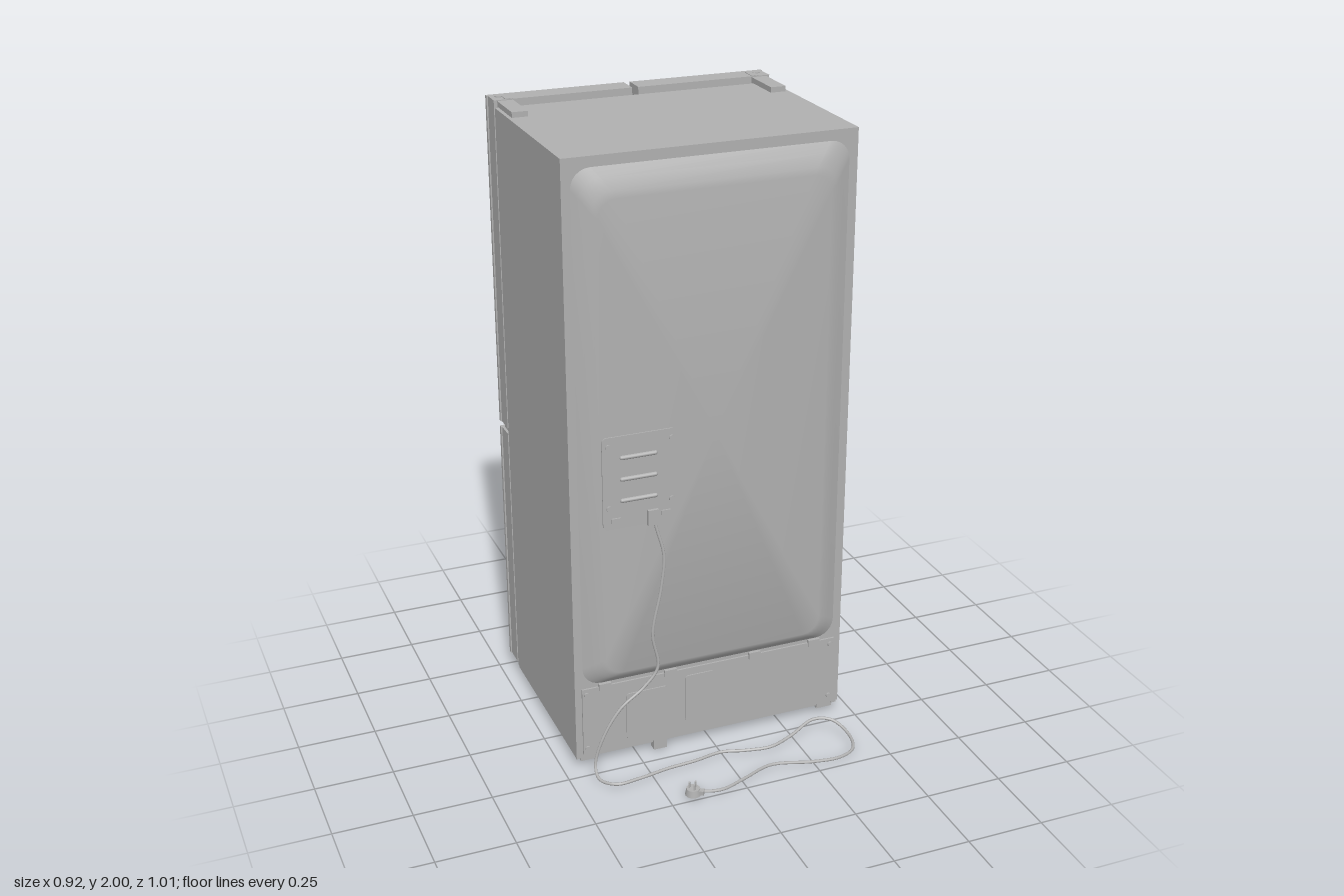
import * as THREE from 'three';
import { toCreasedNormals } from 'three/addons/utils/BufferGeometryUtils.js';

export function createModel() {
  const root = new THREE.Group();
  root.name = 'refrigerator';
  const steel = new THREE.MeshStandardMaterial({ color: 0xb0b0b0 });
  steel.name = 'brushed steel grey';

  const add = (name, geo, x = 0, y = 0, z = 0, parent = root) => {
    const m = new THREE.Mesh(geo, steel);
    m.name = name;
    m.position.set(x, y, z);
    parent.add(m);
    return m;
  };
  // box given by its limits
  const box = (name, x0, x1, y0, y1, z0, z1) =>
    add(name, new THREE.BoxGeometry(Math.abs(x1 - x0), y1 - y0, Math.abs(z1 - z0)),
      (x0 + x1) / 2, (y0 + y1) / 2, (z0 + z1) / 2);
  // rounded rectangle outline centred on x
  const roundRect = (hw, y0, y1, r, n = 6) => {
    const pts = [];
    const corners = [[hw - r, y1 - r], [r - hw, y1 - r], [r - hw, y0 + r], [hw - r, y0 + r]];
    corners.forEach(([cx, cy], q) => {
      for (let i = 0; i <= n; i++) {
        const a = (q + i / n) * Math.PI / 2;
        pts.push(new THREE.Vector2(cx + r * Math.cos(a), cy + r * Math.sin(a)));
      }
    });
    return pts;
  };
  const plate = (name, hw, h, r, depth, x, y, z) =>
    add(name, new THREE.ExtrudeGeometry(new THREE.Shape(roundRect(hw, -h, h, r)),
      { depth, bevelEnabled: false }), x, y, z);

  // cabinet
  box('cabinet', -0.457, 0.457, 0.04, 1.98, -0.415, 0.2);

  // raised back panel, lofted through rounded outlines
  const rings = [
    [0.432, 0.295, 1.95, 0.06, 0.199], [0.405, 0.312, 1.918, 0.06, 0.214],
    [0.378, 0.328, 1.882, 0.06, 0.228], [0.362, 0.338, 1.86, 0.055, 0.232],
  ].map(([hw, y0, y1, r, z]) => roundRect(hw, y0, y1, r).map(p => [p.x, p.y, z]));
  const n = rings[0].length, pos = rings.flat(2), idx = [];
  for (let k = 0; k < rings.length - 1; k++) {
    for (let i = 0; i < n; i++) {
      const j = (i + 1) % n, a = k * n + i, b = k * n + j;
      idx.push(a, b, b + n, a, b + n, a + n);
    }
  }
  const mid = pos.length / 3, last = (rings.length - 1) * n;
  pos.push(0, 1.1, 0.232);
  for (let i = 0; i < n; i++) idx.push(last + i, last + (i + 1) % n, mid);
  const bulge = new THREE.BufferGeometry();
  bulge.setAttribute('position', new THREE.Float32BufferAttribute(pos, 3));
  bulge.setIndex(idx);
  add('backPanel', toCreasedNormals(bulge, 0.5));

  // doors: plan outline swept upwards, mirrored by side s
  const sweep = (name, s, plan, y0, y1) => {
    const g = new THREE.ExtrudeGeometry(
      new THREE.Shape(plan.map(([x, z]) => new THREE.Vector2(s * x, -z))),
      { depth: y1 - y0, bevelEnabled: false });
    g.rotateX(-Math.PI / 2);
    add(name, g, 0, y0, 0);
  };
  const plain = [[0.01, -0.428], [0.456, -0.428], [0.456, -0.49], [0.46, -0.492],
    [0.46, -0.505], [0.01, -0.505]];
  const grip = [[0.01, -0.428], [0.456, -0.428], [0.456, -0.49], [0.46, -0.492],
    [0.46, -0.505], [0.03, -0.505], [0.024, -0.498], [0.036, -0.488], [0.036, -0.455], [0.01, -0.448]];
  for (const s of [1, -1]) {
    sweep('upperDoor', s, plain, 1.53, 2.0);
    sweep('upperDoorGrip', s, grip, 0.92, 1.53);
    sweep('lowerDoorGrip', s, grip, 0.06, 0.9);
    sweep('lowerDoorFoot', s, plain, 0.045, 0.06);
    // gaskets behind the doors
    box('upperGasket', s * 0.025, s * 0.445, 0.935, 1.965, -0.429, -0.414);
    box('lowerGasket', s * 0.025, s * 0.445, 0.06, 0.885, -0.429, -0.414);
    // top hinge cover with hooked end
    box('hingeCover', s * 0.395, s * 0.445, 1.979, 1.997, -0.43, -0.28);
    box('hingeArm', s * 0.395, s * 0.42, 1.979, 2.002, -0.48, -0.43);
    add('hingePin', new THREE.CylinderGeometry(0.012, 0.012, 0.02, 20), s * 0.428, 1.993, -0.47);
    box('hingeHook', s * 0.4, s * 0.43, 1.985, 2.002, -0.482, -0.46);
    // middle and lower hinges
    box('middleHinge', s * 0.39, s * 0.45, 0.904, 0.916, -0.48, -0.41);
    box('lowerHinge', s * 0.38, s * 0.44, 0.03, 0.045, -0.48, -0.3);
    // feet and rollers
    add('frontFoot', new THREE.CylinderGeometry(0.018, 0.018, 0.042, 20), s * 0.41, 0.021, -0.462);
    const roller = add('frontRoller', new THREE.CylinderGeometry(0.026, 0.026, 0.03, 20), s * 0.4, 0.027, -0.355);
    roller.rotation.z = Math.PI / 2;
    add('rearFoot', new THREE.CylinderGeometry(0.018, 0.018, 0.04, 20), s * 0.415, 0.02, 0.128);
    box('rearBracket', s * 0.385, s * 0.44, 0.018, 0.045, 0.17, 0.192);
    box('baseRail', s * 0.435, s * 0.455, 0.03, 0.042, -0.41, 0.195);
  }
  box('frontBaseRail', -0.45, 0.45, 0.028, 0.042, -0.41, -0.385);
  box('rearBaseRail', -0.45, 0.45, 0.028, 0.042, 0.165, 0.19);
  box('centreBracket', -0.195, -0.15, 0.005, 0.042, 0.17, 0.2);

  // slim control strip on the upper right door
  box('controlStrip', -0.1, -0.05, 1.57, 1.85, -0.508, -0.504);

  // compressor cover on the lower back
  box('compressorCover', -0.435, 0.435, 0.05, 0.285, 0.199, 0.206);
  plate('coverEmbossLeft', 0.07, 0.085, 0.012, 0.005, -0.22, 0.155, 0.205);
  plate('coverEmbossRight', 0.05, 0.085, 0.012, 0.005, -0.04, 0.175, 0.205);
  for (const x of [-0.36, -0.14, 0.15, 0.36]) box('coverTab', x - 0.02, x + 0.02, 0.272, 0.295, 0.2, 0.211);
  const screw = (x, y, z) => {
    add('screw', new THREE.CylinderGeometry(0.009, 0.009, 0.008, 14), x, y, z).rotation.x = Math.PI / 2;
  };
  for (const s of [1, -1]) for (const y of [0.07, 0.265]) screw(s * 0.42, y, 0.208);

  // electrical access plate with louvres
  plate('accessPlate', 0.117, 0.15, 0.015, 0.005, -0.248, 0.99, 0.231);
  for (const y of [1.07, 1.0, 0.93]) {
    const louvre = add('louvre', new THREE.CapsuleGeometry(0.008, 0.105, 4, 12), -0.25, y, 0.235);
    louvre.rotation.z = Math.PI / 2;
    louvre.scale.x = 0.9;
  }
  for (const x of [-0.345, -0.145]) for (const y of [0.91, 1.11]) screw(x, y, 0.237);
  for (const x of [-0.325, -0.165]) box('plateClip', x - 0.015, x + 0.015, 0.86, 0.876, 0.234, 0.241);
  box('cableGland', -0.225, -0.19, 0.835, 0.885, 0.232, 0.246);

  // power cable running down the back and along the floor
  const path = [
    [-0.207, 0.86, 0.238], [-0.195, 0.81, 0.244], [-0.178, 0.73, 0.252], [-0.19, 0.62, 0.257],
    [-0.22, 0.47, 0.261], [-0.205, 0.35, 0.264], [-0.25, 0.29, 0.264], [-0.33, 0.23, 0.266],
    [-0.39, 0.14, 0.268], [-0.42, 0.05, 0.274], [-0.42, 0.02, 0.31], [-0.38, 0.018, 0.353],
    [-0.3, 0.018, 0.35], [-0.2, 0.018, 0.333], [-0.1, 0.018, 0.325], [-0.01, 0.018, 0.311],
    [0.07, 0.018, 0.332], [0.15, 0.02, 0.345], [0.23, 0.03, 0.325], [0.32, 0.055, 0.3],
    [0.38, 0.05, 0.32], [0.41, 0.025, 0.385], [0.39, 0.018, 0.45], [0.33, 0.018, 0.479],
    [0.24, 0.018, 0.47], [0.11, 0.018, 0.436], [0, 0.018, 0.474], [-0.08, 0.018, 0.501],
    [-0.12, 0.018, 0.497], [-0.155, 0.018, 0.483],
  ].map(p => new THREE.Vector3(...p));
  add('powerCable', new THREE.TubeGeometry(new THREE.CatmullRomCurve3(path), 260, 0.005, 8));

  // three pin plug lying on its back
  const plug = new THREE.Group();
  plug.name = 'plug';
  plug.position.set(-0.172, 0, 0.474);
  plug.rotation.y = -0.6;
  root.add(plug);
  const shell = new THREE.CylinderGeometry(0.021, 0.025, 0.022, 20);
  add('plugBody', shell, 0, 0.017, 0, plug);
  add('plugCollar', new THREE.BoxGeometry(0.026, 0.014, 0.018), 0.022, 0.017, 0, plug);
  for (const [x, z] of [[-0.012, 0], [0.006, 0.01], [0.006, -0.01]])
    add('plugPin', new THREE.BoxGeometry(0.005, 0.02, 0.007), x, 0.037, z, plug);

  return root;
}
